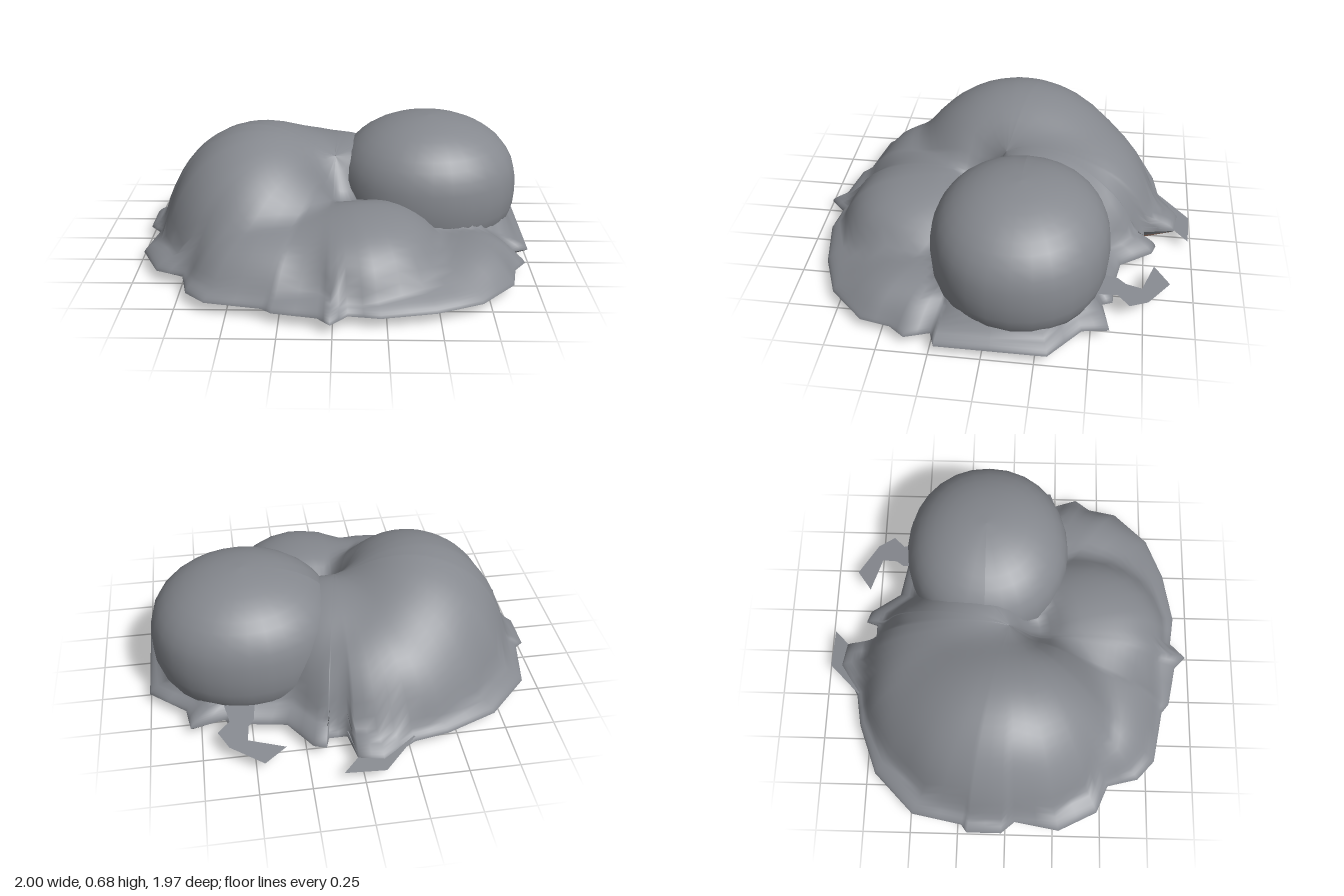
import * as THREE from 'three';

const greyFur = new THREE.MeshStandardMaterial({ color: 0x86898f, side: THREE.DoubleSide });
const brownBase = new THREE.MeshStandardMaterial({ color: 0xcf9a85, side: THREE.DoubleSide });

// Ragged rim seen from above, as [x, z] going round from the left side via the front
const rim = [
  [1, -0.31], [1, 0.22], [0.92, 0.25], [0.96, 0.37], [0.9, 0.45], [0.87, 0.6], [0.7, 0.78],
  [0.48, 0.87], [0.22, 0.92], [0.07, 0.9], [-0.01, 0.98], [-0.07, 0.92], [-0.28, 0.88],
  [-0.33, 0.84], [-0.6, 0.79], [-0.7, 0.7], [-0.74, 0.54], [-0.88, 0.48], [-0.98, 0.28],
  [-0.94, 0.05], [-1, -0.02], [-1, -0.2], [-0.96, -0.23], [-0.91, -0.49], [-0.7, -0.7],
  [-0.44, -0.8], [-0.27, -0.83], [-0.1, -0.93], [0.02, -0.91], [0.05, -0.75], [0.14, -0.75],
  [0.16, -0.81], [0.22, -0.79], [0.33, -0.63], [0.5, -0.6], [0.61, -0.6], [0.63, -0.55],
  [0.8, -0.59], [0.82, -0.46],
];

// Soft mounds of the curled body: x, z, radius x, radius z, height, roundness
const mounds = [
  [-0.41, -0.03, 0.53, 0.62, 0.63, 0.5],
  [-0.2, -0.28, 0.58, 0.53, 0.52, 0.45],
  [0.1, -0.14, 0.36, 0.42, 0.52, 0.4],
  [-0.3, 0.36, 0.48, 0.48, 0.34, 0.4],
  [0.14, 0.41, 0.4, 0.46, 0.375, 0.32],
  [0.1, 0.3, 0.85, 0.6, 0.23, 0.45],
  [0.7, 0.42, 0.28, 0.36, 0.21, 0.45],
  [0.52, -0.1, 0.44, 0.4, 0.42, 0.4],
];

function bodyHeight(x, z, t) {
  let sum = 0;
  for (const [cx, cz, a, b, h, p] of mounds) {
    const r2 = ((x - cx) / a) ** 2 + ((z - cz) / b) ** 2;
    if (r2 < 1) sum += (h * (1 - r2) ** p) ** 9;
  }
  const skirt = 0.06 + 0.12 * (1 - t ** 4) ** 0.6;
  const mound = sum ** (1 / 9) * Math.sqrt(1 - t ** 12);
  const hollow = 0.12 * Math.exp(-(((x - 0.08) / 0.13) ** 2) - ((z - 0.13) / 0.09) ** 2);
  return (skirt ** 7 + mound ** 7) ** (1 / 7) - hollow;
}

// Joins closed rings of points into a smooth surface
function loft(rings, up) {
  const n = rings[0].length;
  const index = [];
  for (let r = 0; r < rings.length - 1; r++) {
    for (let i = 0; i < n; i++) {
      const a = r * n + i, b = r * n + (i + 1) % n, c = a + n, d = b + n;
      if (up) index.push(a, d, c, a, b, d);
      else index.push(a, c, d, a, d, b);
    }
  }
  const geo = new THREE.BufferGeometry();
  geo.setAttribute('position', new THREE.Float32BufferAttribute(rings.flat(2), 3));
  geo.setIndex(index);
  geo.computeVertexNormals();
  return geo;
}

// Thin tuft of fur lying behind the body, sloping down to its tip
function tuft(points) {
  const shape = new THREE.Shape(points.map(([x, z]) => new THREE.Vector2(x, -z)));
  const geo = new THREE.ShapeGeometry(shape);
  geo.rotateX(-Math.PI / 2);
  const p = geo.attributes.position;
  for (let i = 0; i < p.count; i++) p.setY(i, 0.06 + 0.15 * (p.getZ(i) + 0.98));
  geo.computeVertexNormals();
  return geo;
}

export function createModel() {
  const group = new THREE.Group();
  const add = (name, geo, mat) => {
    const mesh = new THREE.Mesh(geo, mat);
    mesh.name = name;
    group.add(mesh);
  };

  // Extra points along the rim for a smoother surface
  const outline = rim.flatMap(([x, z], i) => {
    const [nx, nz] = rim[(i + 1) % rim.length];
    return [[x, z], [(x + nx) / 2, (z + nz) / 2]];
  });

  // Body
  const steps = 26;
  const rings = [];
  for (let k = 0; k <= steps; k++) {
    const t = Math.max(0.001, Math.sin((k / steps) * Math.PI / 2));
    rings.push(outline.map(([x, z]) => [x * t, bodyHeight(x * t, z * t, t), z * t]));
  }
  add('curledBody', loft(rings, true), greyFur);

  // Head, a round mound with a flattened top, leaning on the front of the body
  const head = new THREE.SphereGeometry(1, 28, 20);
  const hp = head.attributes.position;
  const bulge = (v, e) => Math.sign(v) * Math.abs(v) ** e;
  for (let i = 0; i < hp.count; i++) {
    const y = 0.3 + 0.375 * bulge(hp.getY(i), 0.82);
    hp.setXYZ(i,
      0.49 + 0.475 * hp.getX(i),
      Math.max(0.04, y),
      -0.13 + 0.44 * bulge(hp.getZ(i), 0.93));
  }
  head.computeVertexNormals();
  add('head', head, greyFur);

  // Underside with a jagged edge between brown base and grey fringe
  const edge = rim.map(([x, z], i) => {
    const s = [0.89, 0.985, 0.92][i % 3];
    return [x * s, s > 0.95 ? 0.052 : 0.02, z * s];
  });
  const inner = rim.map(([x, z]) => [x * 0.82, 0, z * 0.82]);
  const centre = rim.map(([x, z]) => [x * 0.001, 0, z * 0.001]);
  add('base', loft([centre, inner, edge], false), brownBase);
  add('fringe', loft([edge, rim.map(([x, z]) => [x, 0.06, z])], false), greyFur);

  // Loose tufts at the back
  add('backTuft', tuft([[-0.27, -0.82], [-0.1, -0.99], [0.1, -0.98], [0.02, -0.9], [0.05, -0.75], [-0.1, -0.7]]), greyFur);
  add('curledTuft', tuft([[0.35, -0.8], [0.46, -0.88], [0.62, -0.77], [0.67, -0.68], [0.61, -0.62],
    [0.63, -0.52], [0.48, -0.52], [0.49, -0.62], [0.52, -0.66], [0.53, -0.74]]), greyFur);

  return group;
}
